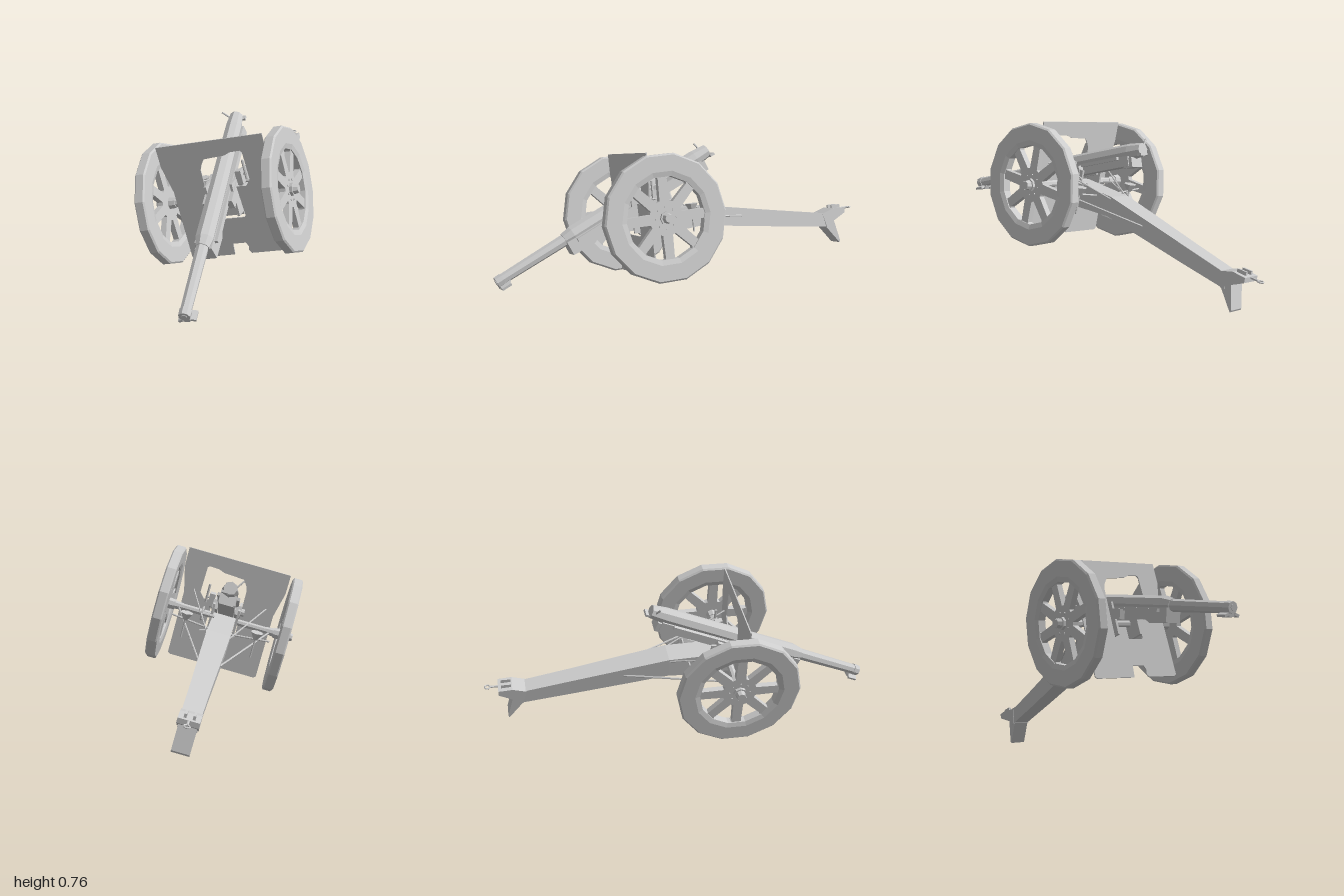
import * as THREE from 'three';

const mat = new THREE.MeshStandardMaterial({ color: 0xcccccc, flatShading: true, side: THREE.DoubleSide });

function add(parent, name, geo, x = 0, y = 0, z = 0) {
  const m = new THREE.Mesh(geo, mat);
  m.name = name;
  m.position.set(x, y, z);
  parent.add(m);
  return m;
}
const box = (p, name, w, h, d, x, y, z) => add(p, name, new THREE.BoxGeometry(w, h, d), x, y, z);

// Straight round bar between two points, r0 at a and r1 at b
function rod(p, name, a, b, r0, r1 = r0, sides = 6) {
  const A = new THREE.Vector3(...a), B = new THREE.Vector3(...b);
  const d = B.clone().sub(A);
  const m = add(p, name, new THREE.CylinderGeometry(r1, r0, d.length(), sides));
  m.position.copy(A).addScaledVector(d, 0.5);
  m.quaternion.setFromUnitVectors(new THREE.Vector3(0, 1, 0), d.normalize());
  return m;
}

const toShape = (pts, Type = THREE.Shape) => new Type(pts.map(p => new THREE.Vector2(...p)));
const extrude = (s, depth) => new THREE.ExtrudeGeometry(s, { depth, bevelEnabled: false }).translate(0, 0, -depth / 2);

// Profile in (z, y), extruded across x
const sideProfile = (pts, width) => extrude(toShape(pts.map(([z, y]) => [-z, y])), width).rotateY(Math.PI / 2);

function makeWheel(side) {
  const g = new THREE.Group();
  g.name = side > 0 ? 'leftWheel' : 'rightWheel';
  // Faceted rim
  const ring = [[0.2, -0.02], [0.225, -0.027], [0.302, -0.027], [0.31, -0.02], [0.31, 0.02],
    [0.302, 0.027], [0.225, 0.027], [0.2, 0.02], [0.2, -0.02]].map(p => new THREE.Vector2(...p));
  add(g, 'rim', new THREE.LatheGeometry(ring, 14).rotateZ(Math.PI / 2));

  // Spoked disc: wedge-shaped openings leave eight spokes
  const disc = new THREE.Shape().absarc(0, 0, 0.215, 0, Math.PI * 2);
  for (let i = 0; i < 8; i++) {
    const c = (i + 0.5) * Math.PI / 4;
    const wedge = [[0.085, -0.008], [0.185, -0.052], [0.203, -0.042], [0.203, 0.042], [0.185, 0.052], [0.085, 0.008]];
    disc.holes.push(toShape(wedge.map(([u, v]) =>
      [u * Math.cos(c) - v * Math.sin(c), u * Math.sin(c) + v * Math.cos(c)]), THREE.Path));
  }
  add(g, 'spokes', extrude(disc, 0.03).rotateY(Math.PI / 2));

  // Hub and bolts
  rod(g, 'hub', [-side * 0.05, 0, 0], [side * 0.03, 0, 0], 0.028, 0.034, 8);
  rod(g, 'hubCap', [side * 0.03, 0, 0], [side * 0.054, 0, 0], 0.026, 0.02, 8);
  for (let i = 0; i < 8; i++) {
    const a = i * Math.PI / 4;
    const y = 0.052 * Math.sin(a), z = 0.052 * Math.cos(a);
    rod(g, 'hubBolt', [side * 0.01, y, z], [side * 0.02, y, z], 0.005);
  }
  g.position.x = side * 0.3225;
  return g;
}

function makeShield() {
  const outline = toShape([[-0.278, 0.315], [-0.278, 0.21], [-0.248, 0.073], [-0.25, -0.286], [-0.238, -0.294],
    [-0.017, -0.294], [-0.012, -0.235], [0.056, -0.235], [0.067, -0.256], [0.063, -0.277], [0.073, -0.294],
    [0.238, -0.294], [0.25, -0.286], [0.248, 0.073], [0.278, 0.21], [0.278, 0.315]]);
  // Gun slot with sighting window
  outline.holes.push(toShape([[-0.066, 0.195], [-0.045, 0.225], [0.065, 0.231], [0.095, 0.243], [0.148, 0.245],
    [0.158, 0.235], [0.162, 0.094], [0.136, 0.064], [0.085, 0.066], [0.093, -0.09], [0.085, -0.098],
    [-0.079, -0.096], [-0.075, 0.17]], THREE.Path));
  return extrude(outline, 0.006);
}

// Tapered trail from rectangular sections [z, halfWidth, top, bottom]
function makeTrail() {
  const sections = [[-0.02, 0.06, 0.02, -0.11], [-0.3, 0.062, 0.012, -0.09], [-0.5, 0.058, -0.025, -0.12],
    [-0.8, 0.05, -0.082, -0.165], [-1.06, 0.046, -0.13, -0.2]];
  const pos = [], idx = [];
  sections.forEach(([z, w, t, b], i) => {
    pos.push(-w, b, z, w, b, z, w, t, z, -w, t, z);
    if (!i) return;
    for (let k = 0; k < 4; k++) {
      const a = (i - 1) * 4 + k, c = (i - 1) * 4 + (k + 1) % 4;
      idx.push(a, a + 4, c, c, a + 4, c + 4);
    }
  });
  const e = (sections.length - 1) * 4;
  idx.push(0, 1, 2, 0, 2, 3, e, e + 2, e + 1, e, e + 3, e + 2);
  const g = new THREE.BufferGeometry();
  g.setAttribute('position', new THREE.Float32BufferAttribute(pos, 3));
  g.setIndex(idx);
  const flat = g.toNonIndexed();
  flat.computeVertexNormals();
  return flat;
}

// Barrel, jacket and cradle, built along z and then depressed
function makeGun() {
  const g = new THREE.Group();
  g.name = 'gun';
  rod(g, 'barrel', [0, 0, 0.4], [0, 0, 0.83], 0.031, 0.026, 8);
  rod(g, 'muzzleRing', [0, 0, 0.8], [0, 0, 0.833], 0.03, 0.028, 8);
  rod(g, 'bore', [0, 0, 0.82], [0, 0, 0.836], 0.014, 0.014, 8);
  add(g, 'muzzleLug', sideProfile([[0.765, -0.015], [0.83, -0.015], [0.83, -0.04], [0.785, -0.045]], 0.03));
  for (const s of [-1, 1]) {
    const lug = box(g, 'muzzleFoot', 0.026, 0.012, 0.05, s * 0.03, -0.032, 0.805);
    lug.rotation.z = s * -0.35;
  }
  rod(g, 'collar', [0, 0, 0.4], [0, 0, 0.45], 0.045, 0.034, 8);
  rod(g, 'jacket', [0, 0, -0.35], [0, 0, 0.4], 0.042, 0.045, 8);
  rod(g, 'breech', [0, 0, -0.43], [0, 0, -0.35], 0.034, 0.042, 8);
  // Cradle beneath the barrel
  add(g, 'cradle', sideProfile([[-0.36, -0.02], [0.45, -0.01], [0.45, -0.08], [0.33, -0.085], [0.3, -0.07], [-0.36, -0.07]], 0.085));
  box(g, 'cradleTail', 0.075, 0.05, 0.06, 0, -0.055, -0.35);
  for (const s of [-1, 1]) {
    box(g, 'slideRail', 0.016, 0.016, 0.7, s * 0.05, -0.025, 0.05);
    box(g, 'cradleFlange', 0.03, 0.05, 0.2, s * 0.062, -0.05, 0.05);
    rod(g, 'trunnion', [s * 0.04, -0.05, 0], [s * 0.095, -0.05, 0], 0.02, 0.02, 8);
  }
  // Breech lever and handle
  rod(g, 'breechLever', [-0.025, 0.01, -0.41], [-0.056, 0.055, -0.41], 0.005);
  box(g, 'breechHandle', 0.05, 0.012, 0.025, 0.015, -0.025, -0.435);
  g.position.y = 0.11;
  g.rotation.x = 0.412;
  return g;
}

export function createModel() {
  const root = new THREE.Group();
  root.name = 'fieldGun';

  // Whole carriage rolls sideways about the middle of the axle
  const body = new THREE.Group();
  body.name = 'carriage';
  body.position.set(0, 0.383, 0.23);
  body.rotation.z = 0.258;
  root.add(body);

  body.add(makeGun());
  add(body, 'shield', makeShield(), 0, 0, 0.043);
  rod(body, 'axle', [-0.3, 0, 0], [0.3, 0, 0], 0.018, 0.018, 8);
  add(body, 'trail', makeTrail());

  for (const s of [-1, 1]) {
    body.add(makeWheel(s));
    rod(body, 'axleSleeve', [s * 0.23, 0, 0], [s * 0.29, 0, 0], 0.02, 0.025, 8);
    rod(body, 'trailBrace', [s * 0.055, -0.07, -0.53], [s * 0.25, -0.005, -0.01], 0.005);
    box(body, 'cheekPlate', 0.012, 0.17, 0.16, s * 0.068, 0.005, -0.01);
    rod(body, 'shieldStay', [s * 0.2, 0.1, 0.04], [s * 0.06, 0.0, -0.3], 0.004);
    // Crew seats on cross bars
    rod(body, 'seatBar', [s * 0.06, -0.01, -0.2], [s * 0.26, 0.01, -0.2], 0.005);
    rod(body, 'seat', [s * 0.187, 0.0, -0.2], [s * 0.187, 0.04, -0.2], 0.012, 0.034, 6);
    rod(body, 'seatPost', [s * 0.187, -0.1, -0.2], [s * 0.187, 0.0, -0.2], 0.005);
  }

  // Aiming gear on the left
  const handWheel = add(body, 'elevatingWheel', new THREE.TorusGeometry(0.035, 0.005, 5, 12), 0.115, 0.03, -0.11);
  handWheel.rotation.y = Math.PI / 2;
  rod(body, 'elevatingShaft', [0.05, 0.03, -0.11], [0.125, 0.03, -0.11], 0.008);
  box(body, 'elevatingSpokeA', 0.006, 0.066, 0.008, 0.115, 0.03, -0.11);
  box(body, 'elevatingSpokeB', 0.006, 0.008, 0.066, 0.115, 0.03, -0.11);
  box(body, 'sightBracket', 0.03, 0.07, 0.04, 0.09, 0.09, -0.02);
  rod(body, 'sight', [0.118, 0.07, -0.03], [0.118, 0.17, -0.03], 0.007);
  rod(body, 'sightArm', [0.08, 0.1, -0.03], [0.125, 0.1, -0.03], 0.005);
  rod(body, 'traverseCrank', [0.06, -0.07, -0.05], [0.11, -0.085, -0.05], 0.006);

  // Trail end: block, spade and towing eye
  add(body, 'trailBlock', sideProfile([[-1.02, -0.125], [-1.09, -0.105], [-1.16, -0.11], [-1.16, -0.135], [-1.09, -0.17], [-1.04, -0.2]], 0.1));
  add(body, 'spade', sideProfile([[-1.04, -0.2], [-1.09, -0.165], [-1.12, -0.285], [-1.115, -0.295]], 0.085));
  rod(body, 'towBar', [0, -0.115, -1.1], [0, -0.115, -1.197], 0.006);
  add(body, 'towEye', new THREE.TorusGeometry(0.014, 0.004, 5, 10).rotateX(Math.PI / 2), 0, -0.115, -1.212);
  for (const s of [-1, 1]) box(body, 'towLug', 0.012, 0.03, 0.05, s * 0.02, -0.105, -1.12);

  return root;
}
